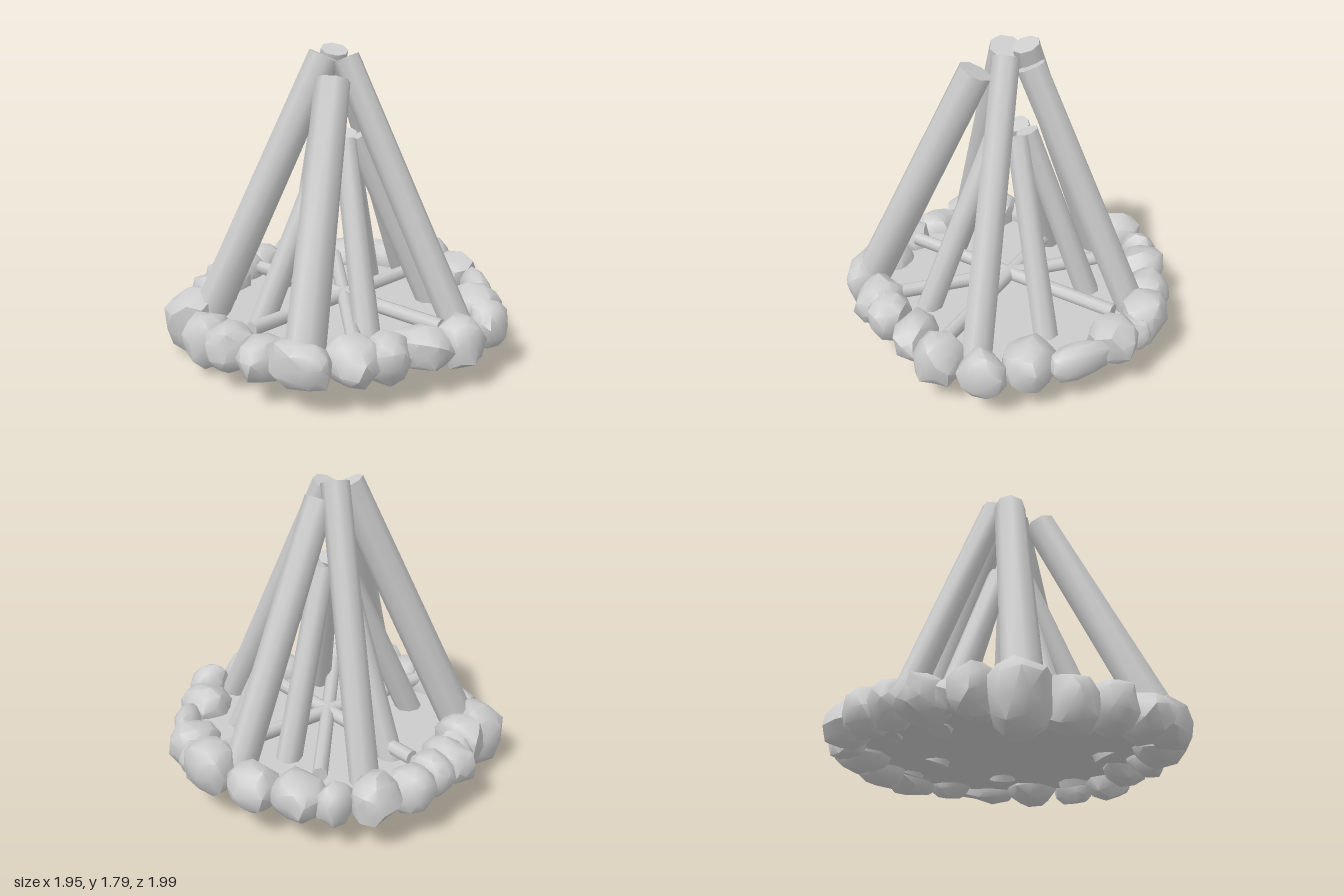
import * as THREE from 'three';
import { mergeVertices, toCreasedNormals } from 'three/addons/utils/BufferGeometryUtils.js';

const material = new THREE.MeshStandardMaterial({ color: 0xcccccc });

function seeded(seed) {
  let s = seed * 7919 + 17;
  return () => ((s = (s * 16807) % 2147483647) / 2147483647);
}

// A slightly tapered eight-sided log from its foot to its tip
function makeLog(name, foot, tip, footRadius, tipRadius) {
  const a = new THREE.Vector3(...foot), b = new THREE.Vector3(...tip);
  const geometry = new THREE.CylinderGeometry(tipRadius, footRadius, a.distanceTo(b), 8);
  const log = new THREE.Mesh(toCreasedNormals(geometry, 0.9), material);
  log.name = name;
  log.position.copy(a).add(b).multiplyScalar(0.5);
  log.quaternion.setFromUnitVectors(new THREE.Vector3(0, 1, 0), b.sub(a).normalize());
  return log;
}

// A lumpy stone fitted to the given half sizes, with its sides bulged outwards
function makeStone(index, [x, z, sx, sz, y = 0.27, sy = 0.135, yaw = 0]) {
  const random = seeded(index + 1);
  let geometry = new THREE.IcosahedronGeometry(1, 1);
  geometry.deleteAttribute('uv');
  geometry.deleteAttribute('normal');
  geometry.rotateX(random() * 6).rotateZ(random() * 6);
  geometry = mergeVertices(geometry, 1e-3);
  const p = geometry.attributes.position;
  for (let i = 0; i < p.count; i++) {
    const k = 0.87 + 0.26 * random();
    p.setXYZ(i, p.getX(i) * k, p.getY(i) * k, p.getZ(i) * k);
  }
  geometry.center();
  const b = geometry.boundingBox.max;
  const bulge = (v, max, size) => Math.sign(v) * size * Math.pow(Math.abs(v) / max, 0.88);
  for (let i = 0; i < p.count; i++) {
    p.setXYZ(i, bulge(p.getX(i), b.x, sx), bulge(p.getY(i), b.y, sy), bulge(p.getZ(i), b.z, sz));
  }
  const stone = new THREE.Mesh(toCreasedNormals(geometry, 0.8), material);
  stone.name = `stone${index + 1}`;
  stone.position.set(x, y, z);
  stone.rotation.y = yaw;
  return stone;
}

export function createModel() {
  const model = new THREE.Group();
  model.name = 'campfire';

  // Ground inside the ring
  const ground = new THREE.Mesh(new THREE.CylinderGeometry(0.8, 0.8, 0.02, 32), material);
  ground.name = 'groundDisc';
  ground.position.y = 0.24;
  model.add(ground);

  // Ring of stones: x, z, half width, half depth, centre height, half height, yaw
  const stones = [
    [0.08, -0.87, 0.17, 0.13, 0.3, 0.155], [0.33, -0.76, 0.14, 0.14, 0.29, 0.14],
    [0.56, -0.63, 0.18, 0.085, 0.27, 0.11, -0.8], [0.67, -0.39, 0.16, 0.15],
    [0.86, -0.2, 0.11, 0.13, 0.28, 0.14], [0.82, 0.08, 0.13, 0.135, 0.26, 0.15],
    [0.69, 0.28, 0.175, 0.11, 0.27, 0.13], [0.61, 0.5, 0.13, 0.12, 0.27, 0.14],
    [0.49, 0.63, 0.15, 0.15, 0.27, 0.14], [0.28, 0.81, 0.19, 0.12, 0.28, 0.13],
    [0.05, 0.82, 0.12, 0.17, 0.24, 0.125], [-0.2, 0.79, 0.14, 0.13, 0.23, 0.14],
    [-0.43, 0.72, 0.13, 0.135, 0.19, 0.15], [-0.67, 0.59, 0.17, 0.15, 0.2, 0.2],
    [-0.72, 0.36, 0.15, 0.11, 0.26, 0.14], [-0.77, 0.25, 0.1, 0.08, 0.26, 0.1],
    [-0.82, 0.1, 0.155, 0.115], [-0.84, -0.08, 0.13, 0.11],
    [-0.845, -0.26, 0.13, 0.13], [-0.77, -0.47, 0.13, 0.14, 0.28, 0.14],
    [-0.625, -0.63, 0.09, 0.11, 0.27, 0.12], [-0.45, -0.71, 0.155, 0.14],
    [-0.2, -0.82, 0.15, 0.13, 0.26, 0.13], [0.23, -0.87, 0.06, 0.08, 0.28, 0.1],
  ];
  const ring = new THREE.Group();
  ring.name = 'stoneRing';
  stones.forEach((s, i) => ring.add(makeStone(i, s)));
  model.add(ring);

  // Thin sticks lying flat, crossing at the centre
  [0.12, 0.89, 1.76].forEach((angle, i) => {
    const x = 0.71 * Math.cos(angle), z = 0.71 * Math.sin(angle);
    model.add(makeLog(`floorStick${i + 1}`, [-x, 0.32, -z], [x, 0.32, z], 0.042, 0.042));
  });

  // Inner logs, whose feet poke through the ground: angle, foot distance, tip height
  const inner = [[0.72, 0.54, 1.28], [2.04, 0.55, 1.21], [3.25, 0.54, 1.28], [4.46, 0.48, 1.28], [5.5, 0.54, 1.28]];
  inner.forEach(([angle, reach, tipY], i) => {
    const c = Math.cos(angle), s = Math.sin(angle);
    model.add(makeLog(`innerLog${i + 1}`, [reach * c, 0.22, reach * s],
      [0.09 * c - 0.02, tipY, 0.09 * s], 0.075, 0.065));
  });

  // Outer logs leaning together
  const outer = [
    [[0.29, 0.29, 0.79], [0.05, 1.63, 0.18], 0.11, 0.098],
    [[0.73, 0.22, -0.1], [0.02, 1.73, 0.01], 0.09, 0.08],
    [[-0.03, 0.24, -0.77], [-0.04, 1.67, -0.11], 0.09, 0.085],
    [[-0.6, 0.24, -0.36], [-0.1, 1.765, -0.055], 0.083, 0.08],
    [[-0.58, 0.25, 0.54], [-0.09, 1.74, 0.055], 0.107, 0.095],
  ];
  outer.forEach(([foot, tip, r0, r1], i) => model.add(makeLog(`outerLog${i + 1}`, foot, tip, r0, r1)));

  return model;
}
